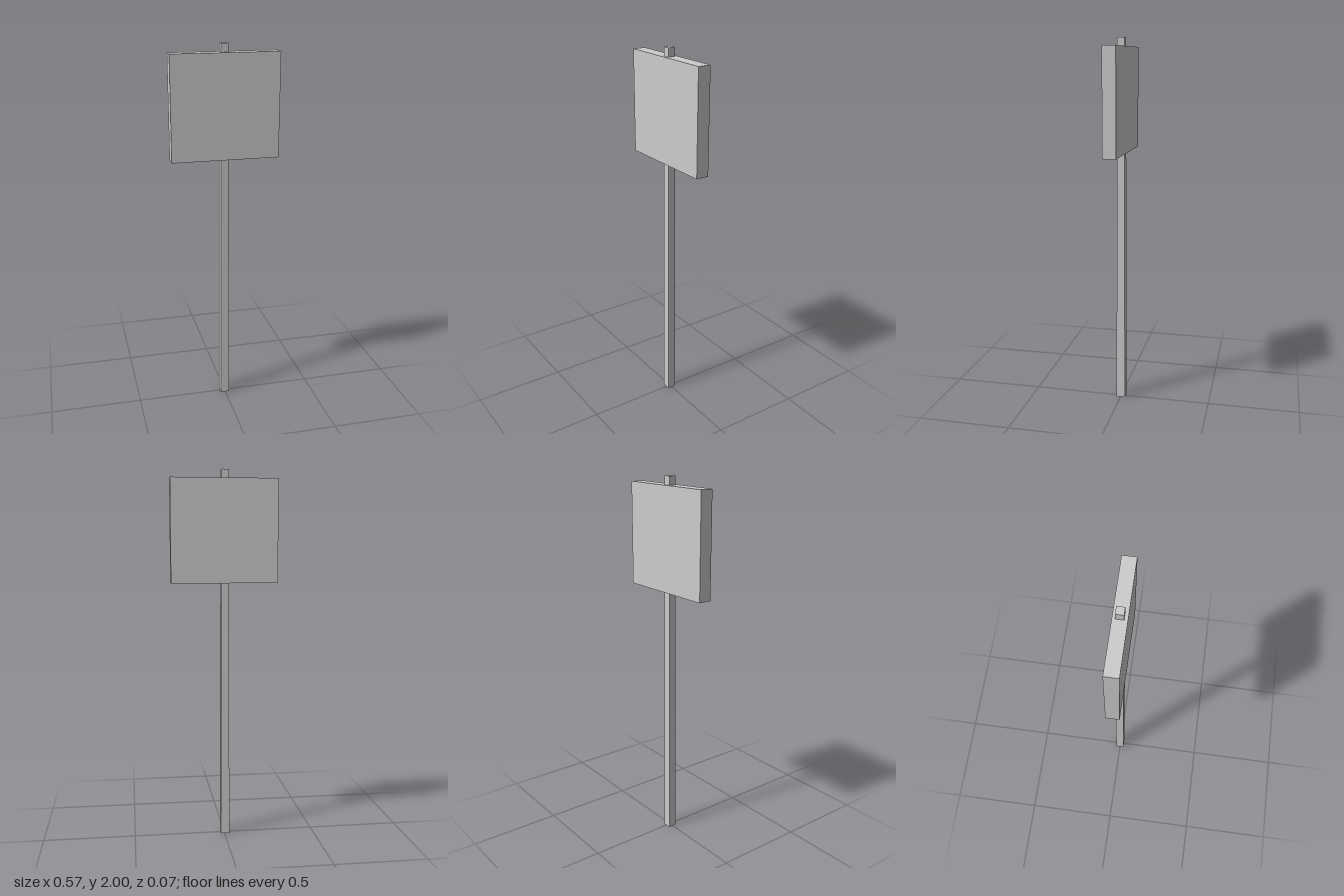
import * as THREE from 'three';

export function createModel() {
  const group = new THREE.Group();
  const grey = new THREE.MeshStandardMaterial({ color: 0xcccccc });
  grey.name = 'light grey';

  // Square post, tapering slightly towards the top
  const topWidth = 0.039, bottomWidth = 0.048, height = 2;
  const postGeometry = new THREE.CylinderGeometry(
    topWidth * Math.SQRT1_2, bottomWidth * Math.SQRT1_2, height, 4
  ).rotateY(Math.PI / 4).toNonIndexed();
  postGeometry.computeVertexNormals();
  const post = new THREE.Mesh(postGeometry, grey);
  post.name = 'post';
  post.position.set(-0.003, height / 2, -0.001);

  // Thick rectangular board, with the post passing through it
  const board = new THREE.Mesh(new THREE.BoxGeometry(0.574, 0.55, 0.07), grey);
  board.name = 'signBoard';
  board.position.set(0, 1.68, 0);

  group.add(post, board);
  return group;
}
